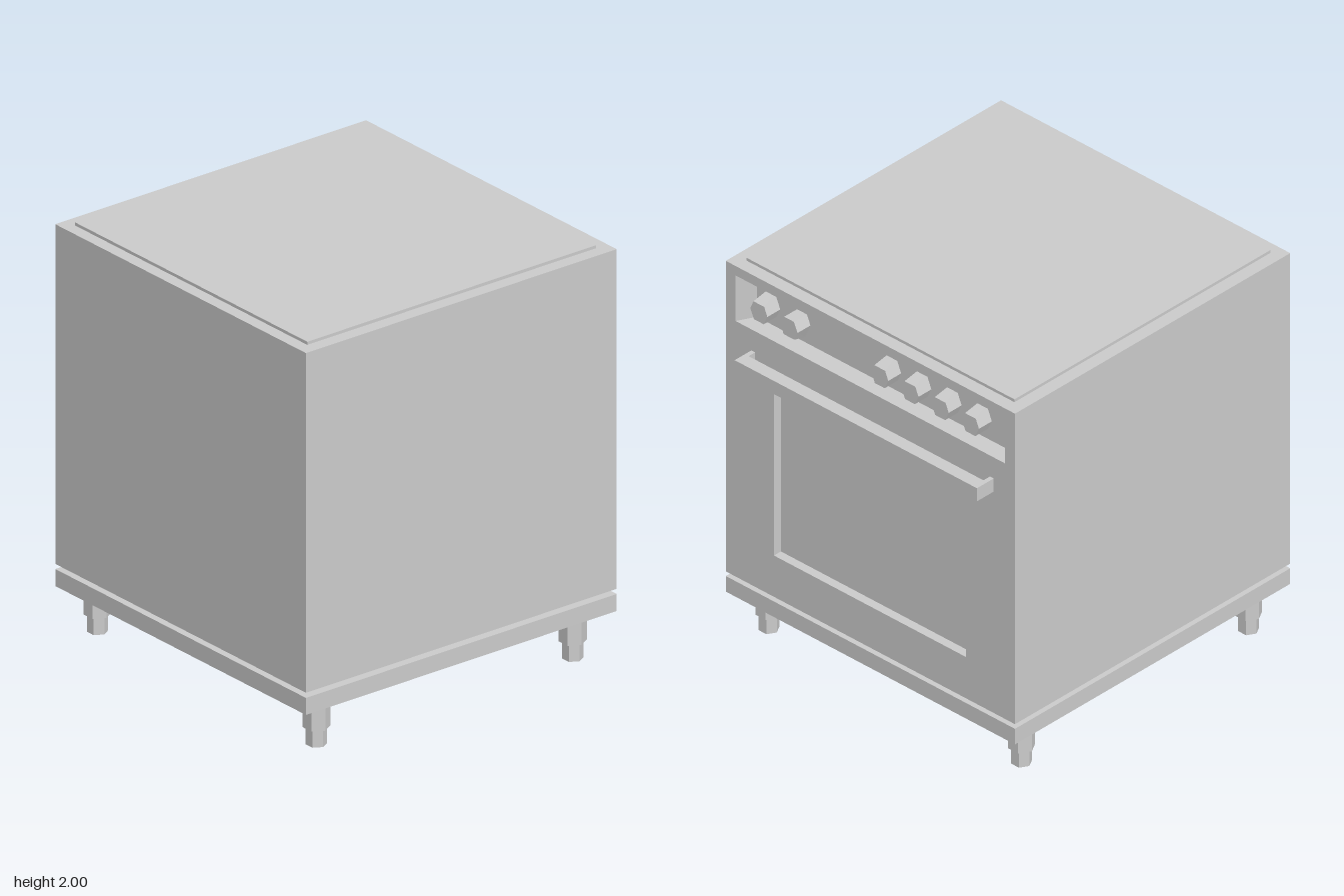
import * as THREE from 'three';

const material = new THREE.MeshStandardMaterial({ color: 0xcccccc, flatShading: true });

function add(parent, name, geometry) {
  const mesh = new THREE.Mesh(geometry, material);
  mesh.name = name;
  parent.add(mesh);
  return mesh;
}

// Box given by its minimum and maximum corners
function box(parent, name, [x0, y0, z0], [x1, y1, z1]) {
  const mesh = add(parent, name, new THREE.BoxGeometry(x1 - x0, y1 - y0, z1 - z0));
  mesh.position.set((x0 + x1) / 2, (y0 + y1) / 2, (z0 + z1) / 2);
  return mesh;
}

// Counter-clockwise rectangle
const rect = (x0, y0, x1, y1) => [[x0, y0], [x1, y0], [x1, y1], [x0, y1]];

// Walls from outline a (depth za) to outline b (depth zb), capped at b
function loft(a, za, b, zb) {
  const positions = [];
  const A = a.map(([x, y]) => [x, y, za]);
  const B = b.map(([x, y]) => [x, y, zb]);
  const tri = (...points) => points.forEach((p) => positions.push(...p));
  for (let i = 0; i < A.length; i++) {
    const j = (i + 1) % A.length;
    tri(A[i], A[j], B[j]);
    tri(A[i], B[j], B[i]);
    if (i > 0 && j > 0) tri(B[0], B[i], B[j]);
  }
  const geometry = new THREE.BufferGeometry();
  geometry.setAttribute('position', new THREE.Float32BufferAttribute(positions, 3));
  geometry.computeVertexNormals();
  return geometry;
}

export function createModel() {
  const model = new THREE.Group();
  model.name = 'oven';

  // Casing: the box face on +x is dropped, the door front closes it
  const casing = box(model, 'casing', [-0.94, 0.33, -0.885], [0.83, 1.985, 0.885]);
  casing.geometry.setIndex(Array.from(casing.geometry.index.array).slice(6));
  box(model, 'cooktop', [-0.88, 1.98, -0.82], [0.765, 2, 0.82]);
  box(model, 'plinthNeck', [-0.89, 0.3, -0.83], [0.775, 0.335, 0.83]);
  box(model, 'plinth', [-0.94, 0.222, -0.885], [0.83, 0.305, 0.885]);

  // Working side, built facing local +z and turned towards +x
  const front = new THREE.Group();
  front.name = 'front';
  front.rotation.y = Math.PI / 2;
  front.position.x = 0.83;
  model.add(front);

  const panelHole = rect(-0.825, 1.692, 0.825, 1.935);
  const windowHole = rect(-0.59, 0.55, 0.585, 1.412);
  const toVectors = (points) => points.map(([x, y]) => new THREE.Vector2(x, y));
  const face = new THREE.Shape(toVectors(rect(-0.885, 0.33, 0.885, 1.985)));
  for (const hole of [panelHole, windowHole]) face.holes.push(new THREE.Path(toVectors(hole)));
  add(front, 'doorFront', new THREE.ShapeGeometry(face));
  add(front, 'controlPanel', loft(panelHole, 0, rect(-0.765, 1.706, 0.765, 1.925), -0.075));
  add(front, 'window', loft(windowHole, 0, windowHole, -0.045));

  // Knobs: pointed hexagons with a bevelled tip, one turned upside down
  const lower = [[-0.052, 0], [-0.03, -0.049], [0.03, -0.049], [0.052, 0]];
  const knobGeometry = loft(
    [...lower, [0.02, 0.075], [-0.02, 0.075]], -0.075,
    [...lower, [0.033, 0.045], [-0.033, 0.045]], 0.008);
  [-0.675, -0.49, 0.065, 0.25, 0.435, 0.62].forEach((x, i) => {
    const knob = add(front, 'knob', knobGeometry);
    knob.position.set(x, 1.81, 0);
    if (i === 1) knob.rotation.z = Math.PI;
  });

  // Handle bar on two end brackets
  box(front, 'handleBar', [-0.728, 1.51, 0.042], [0.755, 1.58, 0.108]);
  box(front, 'handleBracket', [-0.728, 1.51, 0], [-0.705, 1.58, 0.045]);
  box(front, 'handleBracket', [0.732, 1.51, 0], [0.755, 1.58, 0.045]);

  // Stepped hexagonal legs
  for (const x of [-0.79, 0.67]) {
    for (const z of [-0.773, 0.773]) {
      const leg = new THREE.Group();
      leg.name = 'leg';
      leg.position.set(x, 0, z);
      add(leg, 'legSleeve', new THREE.CylinderGeometry(0.063, 0.063, 0.14, 6)).position.y = 0.155;
      add(leg, 'legFoot', new THREE.CylinderGeometry(0.048, 0.048, 0.09, 6)).position.y = 0.045;
      model.add(leg);
    }
  }
  return model;
}
